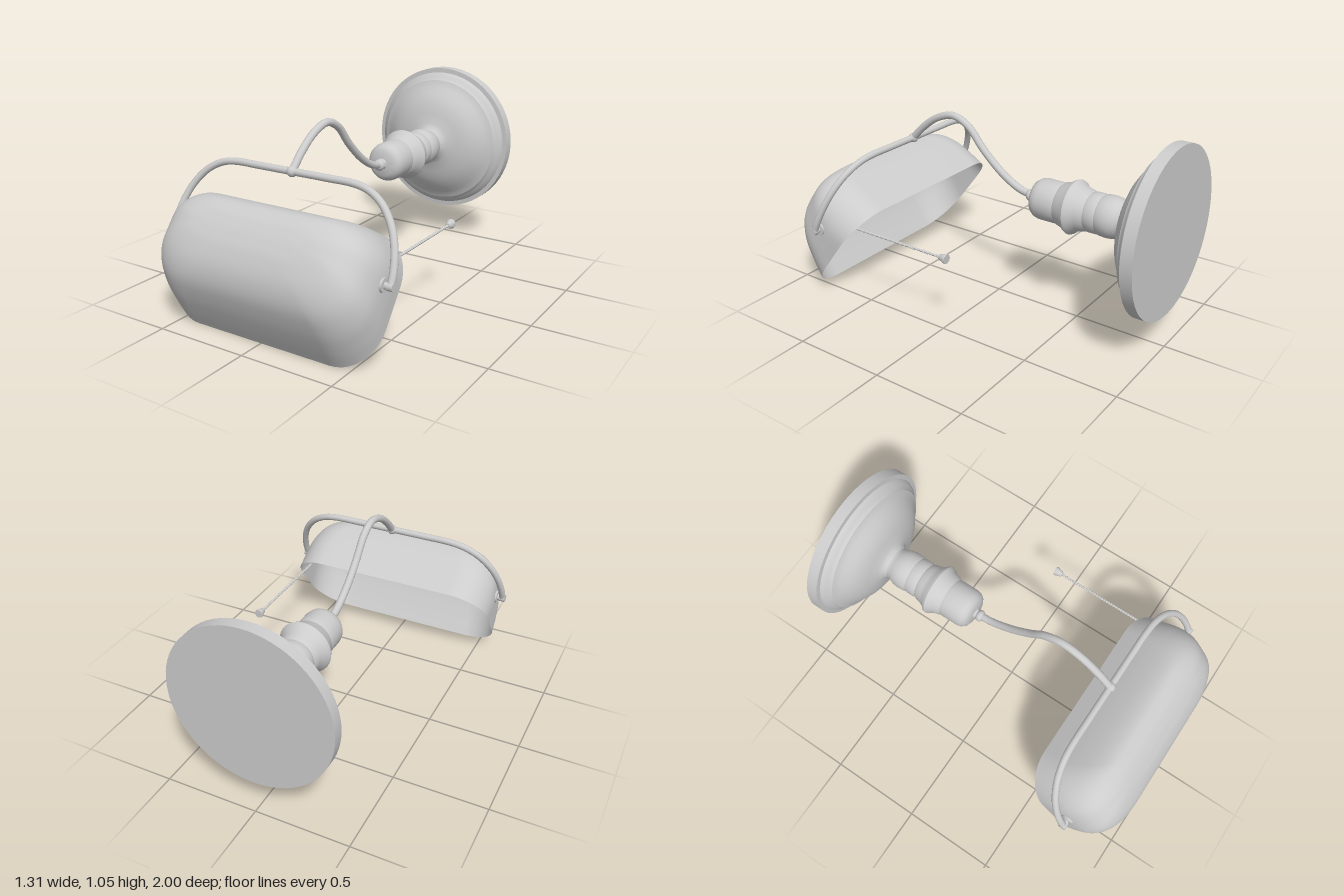
import * as THREE from 'three';
import { toCreasedNormals } from 'three/addons/utils/BufferGeometryUtils.js';

const material = new THREE.MeshStandardMaterial({ color: 0xcccccc });
const shellMaterial = new THREE.MeshStandardMaterial({ color: 0xcccccc, side: THREE.DoubleSide });

function add(parent, name, geometry, position = [0, 0, 0], mat = material) {
  const mesh = new THREE.Mesh(geometry, mat);
  mesh.name = name;
  mesh.position.set(...position);
  parent.add(mesh);
  return mesh;
}

// Turned part along z; profile is [radius, z] with z rising
function turned(profile, sides = 48) {
  const points = profile.map(([r, z]) => new THREE.Vector2(r, z));
  return toCreasedNormals(new THREE.LatheGeometry(points, sides).rotateX(Math.PI / 2), 0.6);
}

function rod(points, radius, segments) {
  const curve = new THREE.CatmullRomCurve3(points.map(p => new THREE.Vector3(...p)));
  return new THREE.TubeGeometry(curve, segments, radius, 14);
}

// Shade: rounded-rectangle loops stacked from the open rim to the crown.
// u runs up the rim plane, n points out of it.
function shadeGeometry() {
  const rim = new THREE.Vector3(0, 0.005, 0.858);
  const U = new THREE.Vector3(0, 0.794, -0.607);
  const N = new THREE.Vector3(0, 0.607, 0.794);
  // [n, low u, high u, half width]
  const levels = [
    [0, 0, 0.642, 0.603], [0.1, 0.043, 0.63, 0.604], [0.2, 0.093, 0.615, 0.592],
    [0.29, 0.155, 0.592, 0.553], [0.35, 0.235, 0.558, 0.485], [0.382, 0.33, 0.5, 0.385],
    [0.39, 0.405, 0.435, 0.25],
  ];
  const spline = f => new THREE.CatmullRomCurve3(levels.map(f), false, 'catmullrom');
  const lower = spline(([n, lo, , w]) => new THREE.Vector3(w, lo, n));
  const upper = spline(([n, , hi, w]) => new THREE.Vector3(w, hi, n));
  const rows = 30, corner = 10, flat = 4, ring = 4 * (corner + flat);
  const positions = [], index = [];
  const put = (x, u, n) => {
    const p = rim.clone().addScaledVector(U, u).addScaledVector(N, n);
    positions.push(x, p.y, p.z);
  };
  for (let i = 0; i <= rows; i++) {
    const a = lower.getPoint(i / rows), b = upper.getPoint(i / rows);
    const w = a.x, h = (b.y - a.y) / 2, mid = (a.y + b.y) / 2;
    const rx = Math.min(0.21, w * 0.6), ru = Math.min(0.22, h * 0.75);
    const loop = [];
    for (let q = 0; q < 4; q++) {
      const sx = q === 0 || q === 3 ? 1 : -1, su = q < 2 ? 1 : -1;
      for (let k = 0; k <= corner; k++) {
        const t = (q + k / corner) * Math.PI / 2;
        loop.push([sx * (w - rx) + rx * Math.cos(t), mid + su * (h - ru) + ru * Math.sin(t)]);
      }
    }
    for (let q = 0; q < 4; q++) {
      for (let k = 0; k < corner; k++) put(...loop[q * (corner + 1) + k], a.z);
      const s = loop[q * (corner + 1) + corner], e = loop[((q + 1) % 4) * (corner + 1)];
      for (let k = 0; k < flat; k++) {
        const f = k / flat;
        put(s[0] + (e[0] - s[0]) * f, s[1] + (e[1] - s[1]) * f, a.z);
      }
    }
  }
  put(0, 0.42, 0.39);
  for (let i = 0; i <= rows; i++) {
    for (let j = 0; j < ring; j++) {
      const a = i * ring + j, b = i * ring + (j + 1) % ring;
      if (i < rows) index.push(a, b, b + ring, a, b + ring, a + ring);
      else index.push(a, b, (rows + 1) * ring);
    }
  }
  const g = new THREE.BufferGeometry();
  g.setAttribute('position', new THREE.Float32BufferAttribute(positions, 3));
  g.setIndex(index);
  g.computeVertexNormals();
  return g;
}

export function createModel() {
  const model = new THREE.Group();
  model.name = 'wallLamp';

  // Stepped wall plate and turned neck
  const axisY = 0.625;
  add(model, 'wallPlate', turned([
    [0, -1], [0.431, -1], [0.431, -0.938], [0.405, -0.936], [0.4, -0.925], [0.383, -0.91],
    [0.37, -0.9], [0.365, -0.89], [0.345, -0.882], [0.325, -0.868], [0.295, -0.845], [0.265, -0.825],
    [0.225, -0.806], [0.18, -0.793], [0.125, -0.78], [0.1, -0.768], [0.088, -0.75],
  ], 72), [0, axisY, 0]);
  add(model, 'neck', turned([
    [0.09, -0.77], [0.087, -0.745], [0.095, -0.725], [0.105, -0.7], [0.108, -0.67], [0.106, -0.635],
    [0.1, -0.622], [0.104, -0.61], [0.104, -0.57], [0.099, -0.558], [0.107, -0.545], [0.112, -0.52],
    [0.122, -0.495], [0.138, -0.478], [0.142, -0.466], [0.136, -0.452], [0.121, -0.43], [0.113, -0.4],
    [0.105, -0.39], [0.108, -0.375], [0.108, -0.285], [0.103, -0.262], [0.09, -0.243], [0.07, -0.232],
    [0.03, -0.228], [0.02, -0.215], [0.02, -0.2], [0, -0.2],
  ]), [0, axisY, 0]);

  // Curved arm with a ball at each end
  add(model, 'arm', rod([
    [0, axisY, -0.21], [0, 0.643, -0.13], [0, 0.705, -0.02], [0, 0.81, 0.1], [0, 0.92, 0.2],
    [0, 0.96, 0.295], [0, 0.93, 0.405], [0, 0.86, 0.505], [0, 0.78, 0.585],
  ], 0.02, 64));
  add(model, 'armCollar', new THREE.SphereGeometry(0.032, 20, 14).scale(1, 1, 0.75), [0, axisY, -0.2]);
  add(model, 'armJoint', new THREE.SphereGeometry(0.027, 20, 14), [0, 0.78, 0.585]);

  // Yoke lying in a slanted plane, down to the shade pivots
  const half = [[0.2, 0.78], [0.35, 0.778], [0.43, 0.762], [0.51, 0.718], [0.575, 0.645],
    [0.615, 0.56], [0.635, 0.47], [0.638, 0.405]];
  const outline = [...half.map(([x, y]) => [-x, y]).reverse(), [0, 0.78], ...half];
  add(model, 'yoke', rod(outline.map(([x, y]) => [x, y, 0.585 + (0.78 - y) * 0.43]), 0.018, 110));
  for (const side of [-1, 1]) {
    const pivot = new THREE.Group();
    pivot.name = side > 0 ? 'leftPivot' : 'rightPivot';
    pivot.position.set(0, 0.405, 0.746);
    model.add(pivot);
    const along = (r, len) => new THREE.CylinderGeometry(r, r, len, 20).rotateZ(Math.PI / 2);
    add(pivot, 'pivotWasher', along(0.035, 0.012), [side * 0.605, 0, 0]);
    add(pivot, 'pivotPin', along(0.017, 0.05), [side * 0.62, 0, 0]);
    add(pivot, 'pivotKnob', along(0.021, 0.03), [side * 0.64, 0, 0]);
  }

  // Open shade
  add(model, 'shade', shadeGeometry(), [0, 0, 0], shellMaterial);

  // Beaded pull chain and its end knob
  const beads = [], count = 38, z0 = -0.02, z1 = 0.57;
  for (let i = 0; i <= count * 4; i++) {
    beads.push([0.004 + 0.004 * Math.abs(Math.sin(i * Math.PI / 4)), z0 + (z1 - z0) * i / (count * 4)]);
  }
  add(model, 'pullChain', turned(beads, 8), [0.522, 0.43, 0]);
  add(model, 'pullKnob', turned([[0, -0.054], [0.024, -0.054], [0.025, -0.045], [0.017, -0.02],
    [0.014, -0.01], [0, -0.008]], 20), [0.522, 0.43, 0]);

  return model;
}
